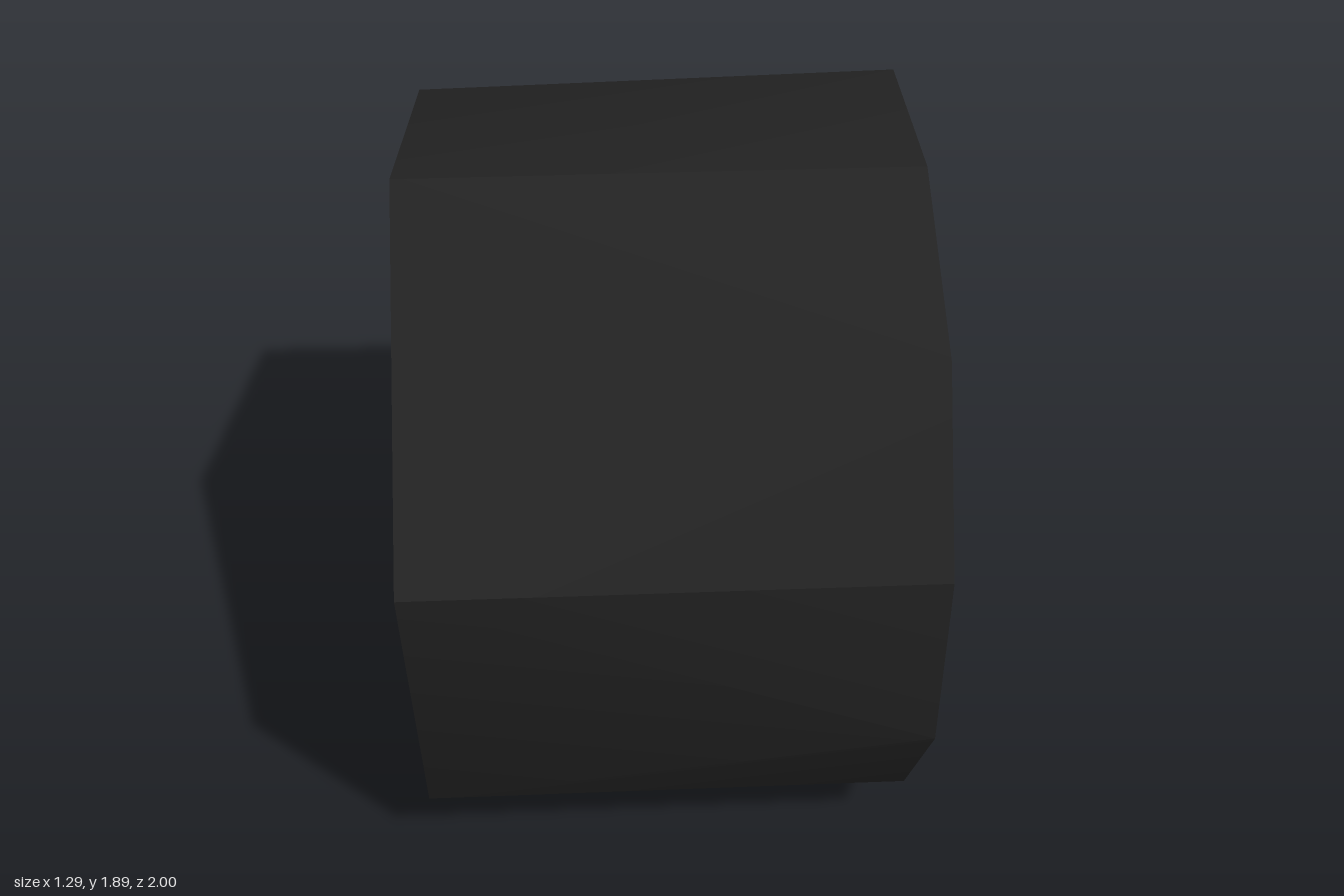
import * as THREE from 'three';
import { toCreasedNormals } from 'three/addons/utils/BufferGeometryUtils.js';

const SIDES = 12;
const MID_Y = 0.945;

// Corner i of a slightly squashed twelve-sided ring at the given x
function corner(i, x, scale = 1) {
  const a = ((i % SIDES) * 30 + 15) * Math.PI / 180;
  return [x, MID_Y + 0.978 * scale * Math.cos(a), 1.035 * scale * Math.sin(a)];
}

function makeMesh(name, triangles, material) {
  const geometry = new THREE.BufferGeometry();
  geometry.setAttribute('position', new THREE.Float32BufferAttribute(triangles.flat(2), 3));
  const mesh = new THREE.Mesh(toCreasedNormals(geometry, 0.4), material);
  mesh.name = name;
  return mesh;
}

// Band of quads between two rings, facing +x / the axis
function band(x0, s0, x1, s1) {
  const tris = [];
  for (let i = 0; i < SIDES; i++) {
    const a = corner(i, x0, s0), b = corner(i + 1, x0, s0);
    const c = corner(i + 1, x1, s1), d = corner(i, x1, s1);
    tris.push([a, b, c], [a, c, d]);
  }
  return tris;
}

export function createModel() {
  const group = new THREE.Group();
  group.name = 'wheel';
  const rubber = new THREE.MeshStandardMaterial({ color: 0x222222 });
  rubber.name = 'black rubber';

  const X = 0.645, FLOOR_X = 0.5, LIP = 0.875, FLOOR = 0.822;

  // Tread: twelve-sided outer ring narrowing to a six-sided inner end
  const tread = [], innerCap = [];
  for (let i = 0; i < SIDES; i += 2) {
    const h0 = corner(i, -X), h1 = corner(i + 2, -X);
    const r0 = corner(i, X), r1 = corner(i + 1, X), r2 = corner(i + 2, X);
    tread.push([h0, r1, r0], [h0, h1, r1], [h1, r2, r1]);
    innerCap.push([[-X, MID_Y, 0], h1, h0]);
  }

  // Recessed disc inside the rim
  const disc = [];
  for (let i = 0; i < SIDES; i++) {
    disc.push([[FLOOR_X, MID_Y, 0], corner(i, FLOOR_X, FLOOR), corner(i + 1, FLOOR_X, FLOOR)]);
  }

  group.add(
    makeMesh('tread', tread, rubber),
    makeMesh('innerCap', innerCap, rubber),
    makeMesh('rim', band(X, 1, X, LIP), rubber),
    makeMesh('recessWall', band(X, LIP, FLOOR_X, FLOOR), rubber),
    makeMesh('recessedDisc', disc, rubber)
  );
  return group;
}
